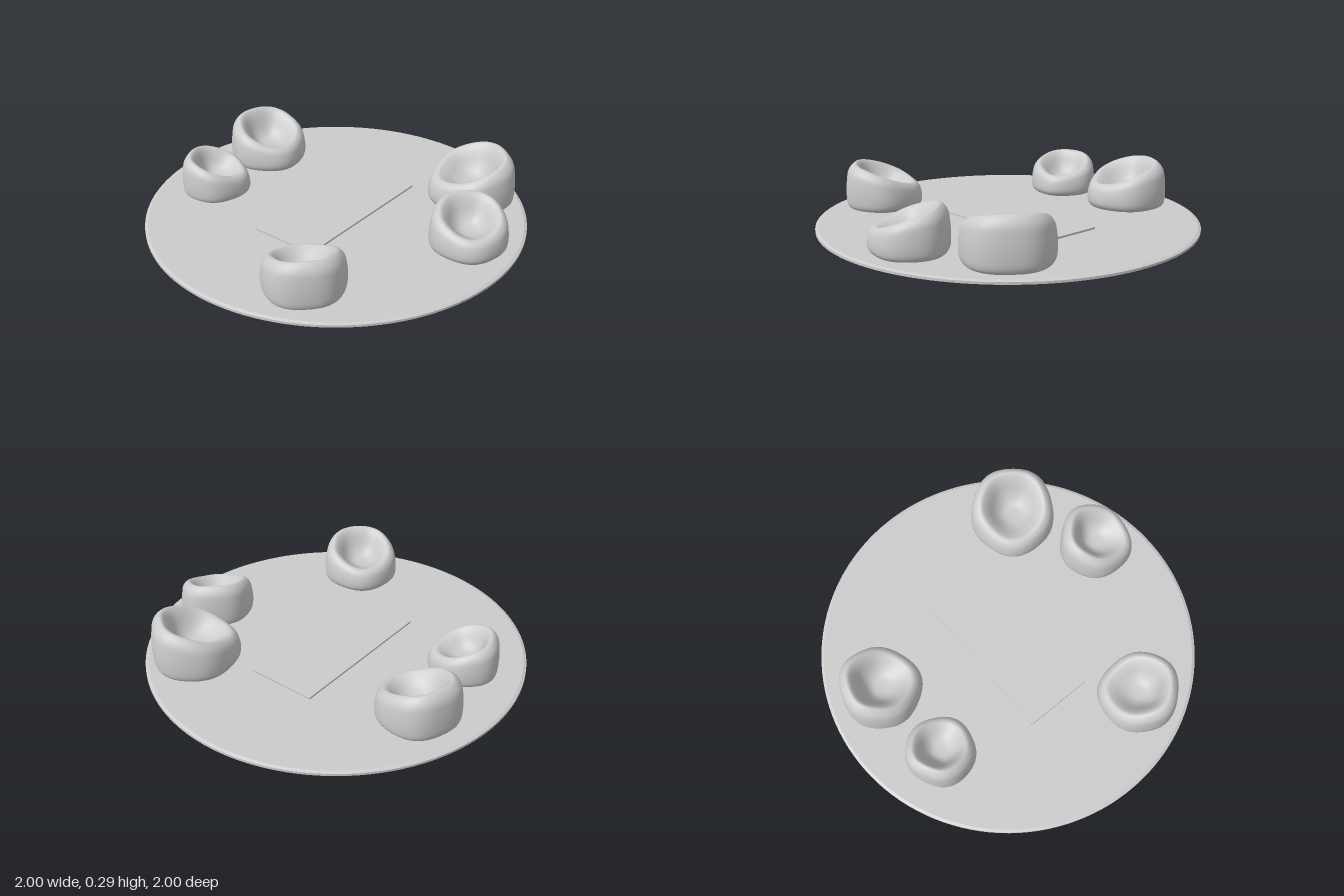
import * as THREE from 'three';
import { mergeVertices } from 'three/addons/utils/BufferGeometryUtils.js';

const material = new THREE.MeshStandardMaterial({ color: 0xcccccc });
const { lerp } = THREE.MathUtils;

// Soft seat facing +z: one closed cross-section per azimuth, low lip in front, high back behind
function beanbagGeometry(around = 64, along = 40) {
  const positions = [], index = [];
  const radius = 0.205, floor = 0.085;
  for (let i = 0; i < around; i++) {
    const a = (i / around) * Math.PI * 2;
    const t = (1 - Math.cos(a)) / 2;
    const back = t + 0.35 * t * (1 - t);
    const h = lerp(0.13, 0.242, back);
    const R = radius * (1 + 0.018 * Math.cos(5 * a + 0.5) + 0.015 * Math.cos(3 * a));
    const crest = lerp(0.8, 0.74, back);
    const inner = k => lerp(floor, h, k);
    const profile = new THREE.CatmullRomCurve3([
      [0, 0], [0.5, 0], [0.88, 0], [0.97, 0.018], [1, 0.3 * h], [0.98, 0.62 * h],
      [0.92, 0.86 * h], [crest, h], [crest - 0.14, inner(0.82)], [0.42, inner(0.3)],
      [0.24, inner(0.05)], [0, floor],
    ].map(([r, y]) => new THREE.Vector3(r * R, y, 0)), false, 'centripetal');
    for (let j = 0; j <= along; j++) {
      const p = profile.getPoint(j / along);
      const r = j === 0 || j === along ? 0 : Math.max(p.x, 0);
      positions.push(r * Math.sin(a), p.y, r * Math.cos(a));
    }
  }
  const id = (i, j) => (i % around) * (along + 1) + j;
  for (let i = 0; i < around; i++) {
    for (let j = 0; j < along; j++) {
      const a = id(i, j), b = id(i + 1, j), c = id(i + 1, j + 1), d = id(i, j + 1);
      if (j > 0) index.push(a, b, c);
      if (j < along - 1) index.push(a, c, d);
      else index.push(a, b, d);
    }
  }
  // Drop the doubled triangle at the seat centre and weld both poles
  const geometry = new THREE.BufferGeometry();
  geometry.setAttribute('position', new THREE.Float32BufferAttribute(positions, 3));
  geometry.setIndex(index.filter((_, k) => {
    const s = Math.floor(k / 3) * 3;
    return !(index[s + 2] % (along + 1) === along && index[s + 1] % (along + 1) === along - 1
      && index[s] % (along + 1) === along - 1 && index[s + 2] === index[s + 1] + 1);
  }));
  const welded = mergeVertices(geometry, 1e-5);
  welded.computeVertexNormals();
  return welded;
}

export function createModel() {
  const model = new THREE.Group();
  const add = (name, geometry, x, y, z) => {
    const mesh = new THREE.Mesh(geometry, material);
    mesh.name = name;
    mesh.position.set(x, y, z);
    model.add(mesh);
    return mesh;
  };

  // Round rug with a thin upper layer
  add('rugBase', new THREE.CylinderGeometry(1, 1, 0.012, 128), 0, 0.006, 0);
  add('rugTop', new THREE.CylinderGeometry(0.985, 0.998, 0.006, 128), 0, 0.015, 0);

  // Low rectangular mat in the middle
  add('centreMat', new THREE.BoxGeometry(0.37, 0.012, 0.87), -0.005, 0.022, -0.015);

  // Ring of beanbags: centre x, z, scale, facing direction x, z
  const bag = beanbagGeometry();
  [
    ['backRightBeanbag', -0.675, -0.22, 1.03, 0.95, 0.25],
    ['frontRightBeanbag', -0.645, 0.24, 0.88, 0.85, -0.5],
    ['frontLeftBeanbag', 0.335, 0.655, 1, -0.75, -0.65],
    ['leftBeanbag', 0.735, -0.135, 0.96, 0.7, 0.7],
    ['backLeftBeanbag', 0.49, -0.55, 1.11, -0.55, 0.83],
  ].forEach(([name, x, z, scale, dx, dz]) => {
    const mesh = add(name, bag, x, 0.021, z);
    mesh.scale.setScalar(scale);
    mesh.rotation.y = Math.atan2(dx, dz);
  });
  return model;
}
